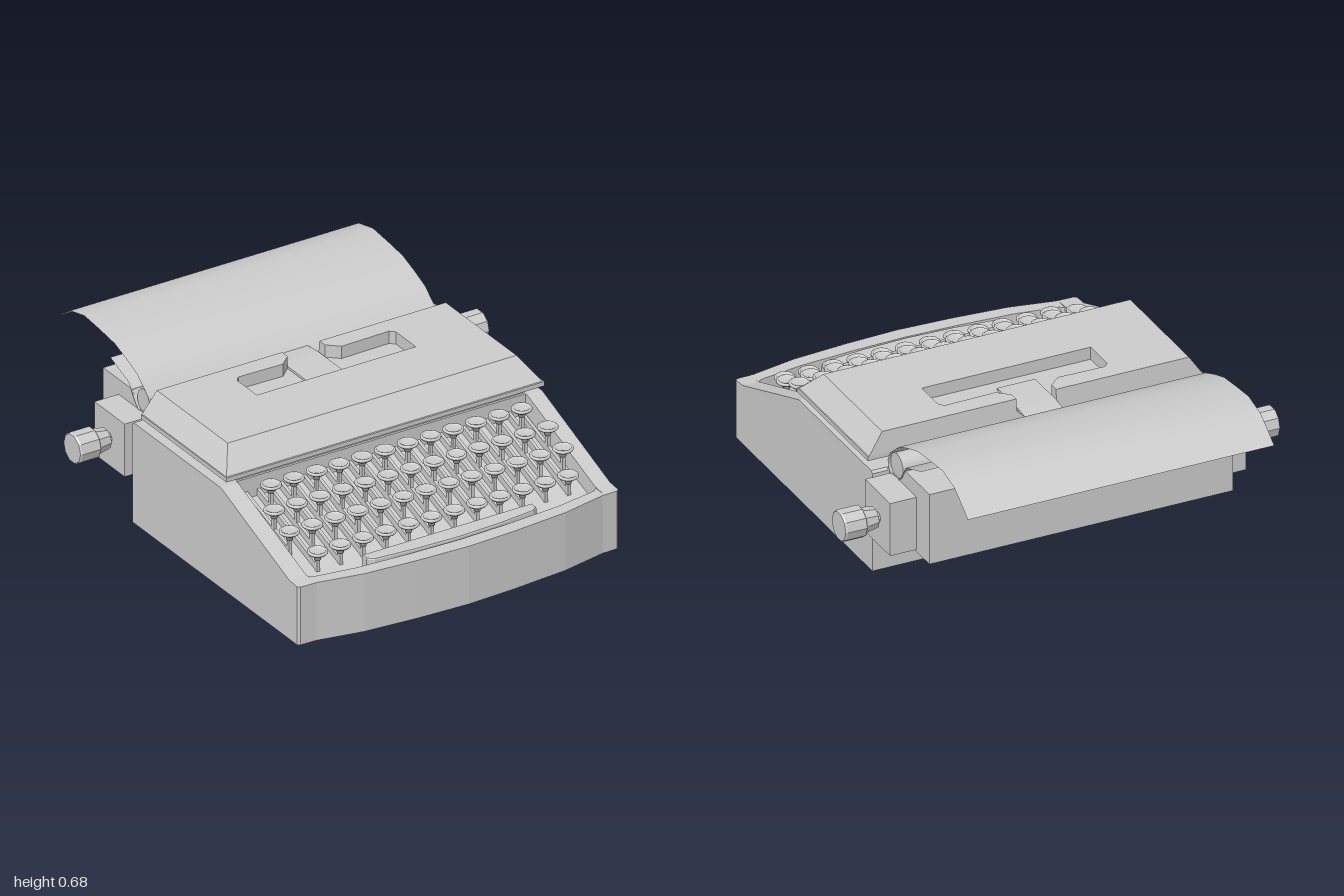
import * as THREE from 'three';

const grey = new THREE.MeshStandardMaterial({ color: 0xcccccc, side: THREE.DoubleSide });

function mesh(parent, name, geometry, x = 0, y = 0, z = 0) {
  const m = new THREE.Mesh(geometry, grey);
  m.name = name;
  m.position.set(x, y, z);
  parent.add(m);
  return m;
}

function box(parent, name, x0, x1, y0, y1, z0, z1) {
  return mesh(parent, name, new THREE.BoxGeometry(x1 - x0, y1 - y0, z1 - z0),
    (x0 + x1) / 2, (y0 + y1) / 2, (z0 + z1) / 2);
}

const toShape = (pts) => new THREE.Shape(pts.map(([a, b]) => new THREE.Vector2(a, b)));

// Side profile of [z, y] points, extruded from x0 to x1
function sideExtrude(pts, x0, x1) {
  const g = new THREE.ExtrudeGeometry(toShape(pts), { depth: x1 - x0, bevelEnabled: false });
  return g.rotateY(-Math.PI / 2).translate(x1, 0, 0);
}

// Plan of [x, z] points, extruded from y0 to y1
function planExtrude(pts, y0, y1, bevel = 0) {
  const g = new THREE.ExtrudeGeometry(toShape(pts.map(([x, z]) => [x, -z])), {
    depth: y1 - y0 - 2 * bevel, bevelEnabled: bevel > 0, bevelSize: bevel,
    bevelThickness: bevel, bevelOffset: -bevel, bevelSegments: 2,
  });
  return g.rotateX(-Math.PI / 2).translate(0, y0 + bevel, 0);
}

const floorY = (z) => 0.36 - (z - 0.35) * 0.33;

function buildBody(parent) {
  const body = new THREE.Group();
  body.name = 'body';
  parent.add(body);
  // Core: raised rear deck and sloping floor of the key well
  mesh(body, 'core', sideExtrude([[-0.29, 0], [0.92, 0], [0.92, floorY(0.92)],
    [0.35, floorY(0.35)], [0.35, 0.45], [-0.29, 0.45]], -0.685, 0.67));
  // Side walls with sloping rims
  const rim = [[-0.29, 0], [0.92, 0], [0.92, 0.26], [0.86, 0.265], [0.38, 0.443], [0.36, 0.45],
    [-0.28, 0.45], [-0.29, 0.44]];
  mesh(body, 'rightWall', sideExtrude(rim, -0.765, -0.685));
  mesh(body, 'leftWall', sideExtrude(rim, 0.67, 0.74));
  // Bowed front wall
  mesh(body, 'frontWall', planExtrude([[-0.765, 0.9], [-0.765, 0.92], [-0.755, 0.928], [-0.68, 0.93],
    [-0.48, 0.97], [-0.24, 0.99], [-0.01, 1], [0.22, 0.99], [0.46, 0.97], [0.66, 0.93], [0.73, 0.928],
    [0.74, 0.92], [0.74, 0.9], [0.67, 0.865], [0.65, 0.88], [0.46, 0.91], [0.22, 0.926], [-0.01, 0.933],
    [-0.24, 0.926], [-0.48, 0.91], [-0.665, 0.88], [-0.685, 0.865]], 0, 0.26));
}

function buildCover(parent) {
  const cover = new THREE.Group();
  cover.name = 'cover';
  parent.add(cover);
  box(cover, 'neck', -0.68, 0.67, 0.45, 0.48, -0.195, 0.34);
  box(cover, 'lip', -0.75, 0.74, 0.478, 0.497, -0.25, 0.378);

  // Outer edges lean inwards with height; the recess stays upright
  const xo = 0.74, front = 0.37, back = -0.25;
  const taper = (g) => {
    const p = g.attributes.position;
    for (let i = 0; i < p.count; i++) {
      const x = p.getX(i), t = (p.getY(i) - 0.497) / 0.093;
      if (Math.abs(x) > 0.7) p.setX(i, x - Math.sign(x) * 0.063 * t);
      if (p.getZ(i) > 0.3) p.setZ(i, p.getZ(i) - 0.09 * t);
      if (p.getZ(i) < -0.24) p.setZ(i, p.getZ(i) + 0.01 * t);
    }
    g.computeVertexNormals();
    return g.translate(-0.005, 0, 0);
  };
  const base = [[-xo, back], [-xo, front], [xo, front], [xo, back]];
  mesh(cover, 'coverBase', taper(planExtrude(base, 0.497, 0.535)));
  const recess = [[0.085, back], [0.085, -0.2], [0.135, -0.155], [0.36, -0.16], [0.38, -0.14],
    [0.38, 0.005], [-0.365, 0.005], [-0.365, -0.14], [-0.345, -0.16], [-0.14, -0.155],
    [-0.09, -0.2], [-0.09, back]];
  mesh(cover, 'coverTop', taper(planExtrude([...base, ...recess], 0.535, 0.59)));
  // Guide plate running back through the notch towards the roller
  mesh(cover, 'typeGuide', sideExtrude([[-0.055, 0.53], [-0.055, 0.545], [-0.24, 0.545],
    [-0.315, 0.537], [-0.24, 0.53]], -0.095, 0.073));
}

function buildKeys(parent) {
  const keys = new THREE.Group();
  keys.name = 'keyboard';
  parent.add(keys);
  // Dished cap with a raised ring and a short collar
  const cap = new THREE.LatheGeometry([[0, -0.035], [0.014, -0.035], [0.016, -0.014], [0.034, -0.012],
    [0.043, -0.004], [0.043, 0.002], [0.038, 0.006], [0.033, 0.005], [0.031, 0], [0, 0]]
    .map(([r, y]) => new THREE.Vector2(r, y)), 16);
  const rows = [
    { z: 0.442, y: 0.45, n: 12, x0: -0.582 },
    { z: 0.556, y: 0.405, n: 13, x0: -0.64 },
    { z: 0.668, y: 0.36, n: 13, x0: -0.64 },
    { z: 0.783, y: 0.305, n: 12, x0: -0.582 },
  ];
  for (const { z, y, n, x0 } of rows) {
    for (let i = 0; i < n; i++) {
      const x = x0 + i * 0.1068;
      mesh(keys, 'keyCap', cap, x, y, z);
      const f = floorY(z);
      box(keys, 'keyStem', x - 0.007, x + 0.007, f, y - 0.02, z - 0.008, z + 0.008);
      // Lever running back along the well floor
      mesh(keys, 'keyLever', sideExtrude([[z + 0.008, f], [z + 0.008, f + 0.03],
        [0.345, floorY(0.345) + 0.03], [0.345, floorY(0.345)]], x - 0.007, x + 0.007));
    }
  }
  // Space bar, following the bow of the front wall
  mesh(keys, 'spaceBar', planExtrude([[-0.41, 0.84], [0.385, 0.84], [0.385, 0.875], [0.36, 0.895],
    [0.19, 0.912], [-0.01, 0.92], [-0.21, 0.912], [-0.385, 0.895], [-0.41, 0.875]], 0.19, 0.267, 0.008));
}

function buildCarriage(parent) {
  const carriage = new THREE.Group();
  carriage.name = 'carriage';
  parent.add(carriage);
  // Main box with a trough for the roller
  mesh(carriage, 'carriageBox', sideExtrude([[-0.285, 0.19], [-0.645, 0.19], [-0.645, 0.505],
    [-0.43, 0.505], [-0.405, 0.46], [-0.38, 0.44], [-0.285, 0.44]], -0.675, 0.665));
  mesh(carriage, 'roller', new THREE.CylinderGeometry(0.055, 0.055, 1.33, 20).rotateZ(Math.PI / 2),
    -0.005, 0.485, -0.347);

  // End blocks and turning knobs
  const knob = new THREE.LatheGeometry([[0, 0], [0.022, 0], [0.022, 0.018], [0.045, 0.018], [0.055, 0.07],
    [0.058, 0.075], [0.067, 0.082], [0.067, 0.168], [0.062, 0.175], [0, 0.175]]
    .map(([r, y]) => new THREE.Vector2(r, y)), 10).toNonIndexed();
  knob.computeVertexNormals();
  for (const s of [-1, 1]) {
    const side = new THREE.Group();
    side.name = s > 0 ? 'leftEnd' : 'rightEnd';
    side.position.x = -0.003;
    carriage.add(side);
    box(side, 'endBlock', s > 0 ? 0.66 : -0.785, s > 0 ? 0.785 : -0.66, 0.2, 0.437, -0.532, -0.31);
    mesh(side, 'knob', knob, s * 0.783, 0.325, -0.425).rotation.z = -s * Math.PI / 2;
  }
}

// Sheet wound under the roller and curling away to the back
function buildPaper(parent) {
  const path = [[-0.585, 0.58], [-0.45, 0.53], [-0.405, 0.465], [-0.375, 0.434], [-0.335, 0.427],
    [-0.3, 0.45], [-0.289, 0.487], [-0.31, 0.53], [-0.39, 0.595], [-0.47, 0.628], [-0.555, 0.657],
    [-0.665, 0.67], [-0.775, 0.68], [-0.88, 0.655], [-0.94, 0.614], [-1, 0.57]];
  const g = new THREE.PlaneGeometry(1.352, 1, 1, path.length - 1);
  const p = g.attributes.position;
  for (let i = 0; i < p.count; i++) {
    const [z, y] = path[Math.floor(i / 2)];
    p.setXYZ(i, p.getX(i) - 0.004, y, z);
  }
  g.computeVertexNormals();
  mesh(parent, 'paper', g);
}

export function createModel() {
  const model = new THREE.Group();
  model.name = 'typewriter';
  buildBody(model);
  buildCover(model);
  buildKeys(model);
  buildCarriage(model);
  buildPaper(model);
  return model;
}
